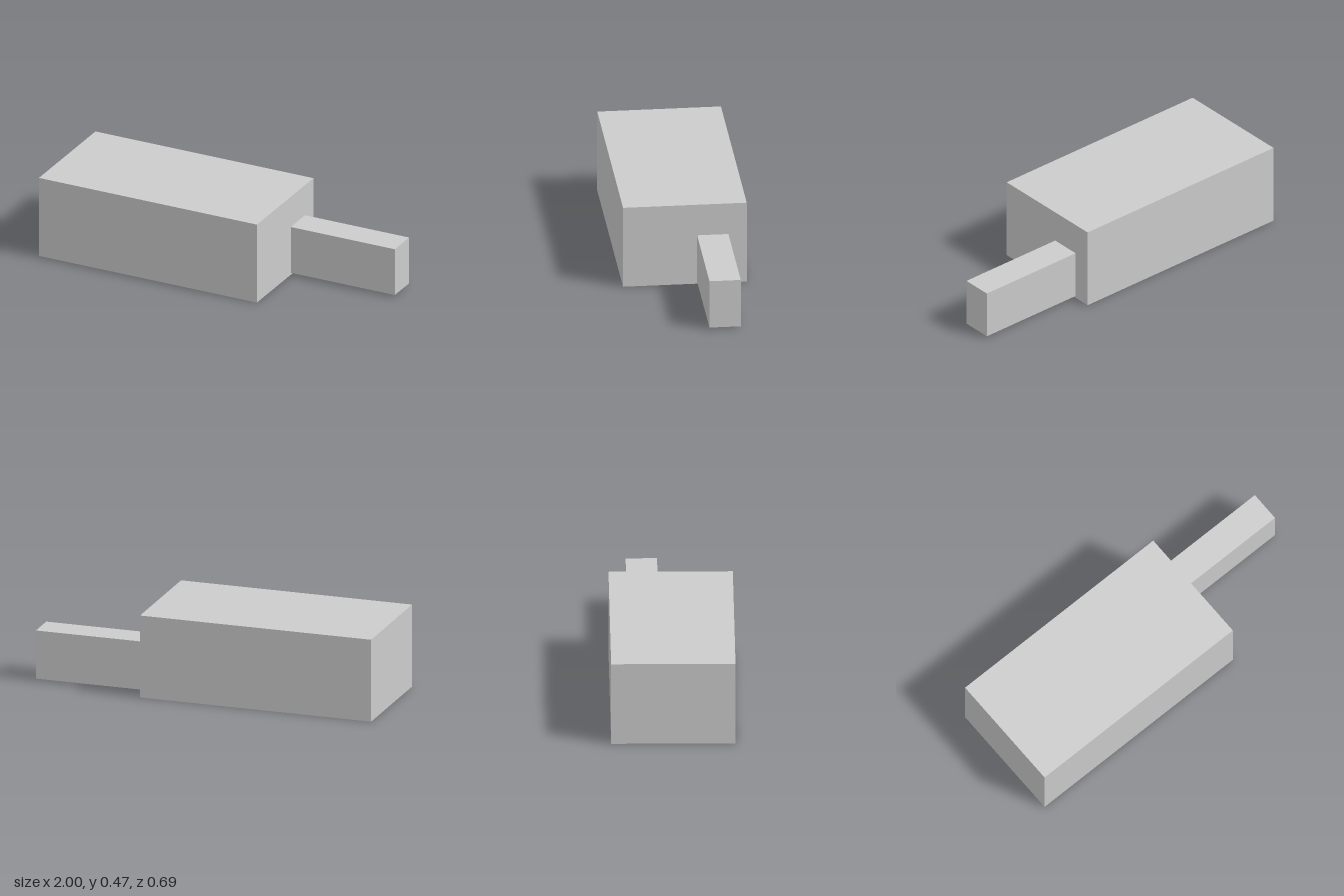
import * as THREE from 'three';

// Box given by its two opposite corners
function box(name, min, max, material) {
  const size = max.map((v, i) => v - min[i]);
  const mesh = new THREE.Mesh(new THREE.BoxGeometry(...size), material);
  mesh.position.set(...max.map((v, i) => (v + min[i]) / 2));
  mesh.name = name;
  return mesh;
}

export function createModel() {
  const group = new THREE.Group();
  group.name = 'blockWithArm';
  const grey = new THREE.MeshStandardMaterial({ color: 0xcccccc, flatShading: true });

  // Large main block
  group.add(box('mainBlock', [-1, 0, -0.344], [0.354, 0.475, 0.344], grey));
  // Narrow arm on the +x end, set towards the back and just above the base
  group.add(box('sideArm', [0.354, 0.012, -0.242], [1, 0.291, -0.068], grey));

  return group;
}
